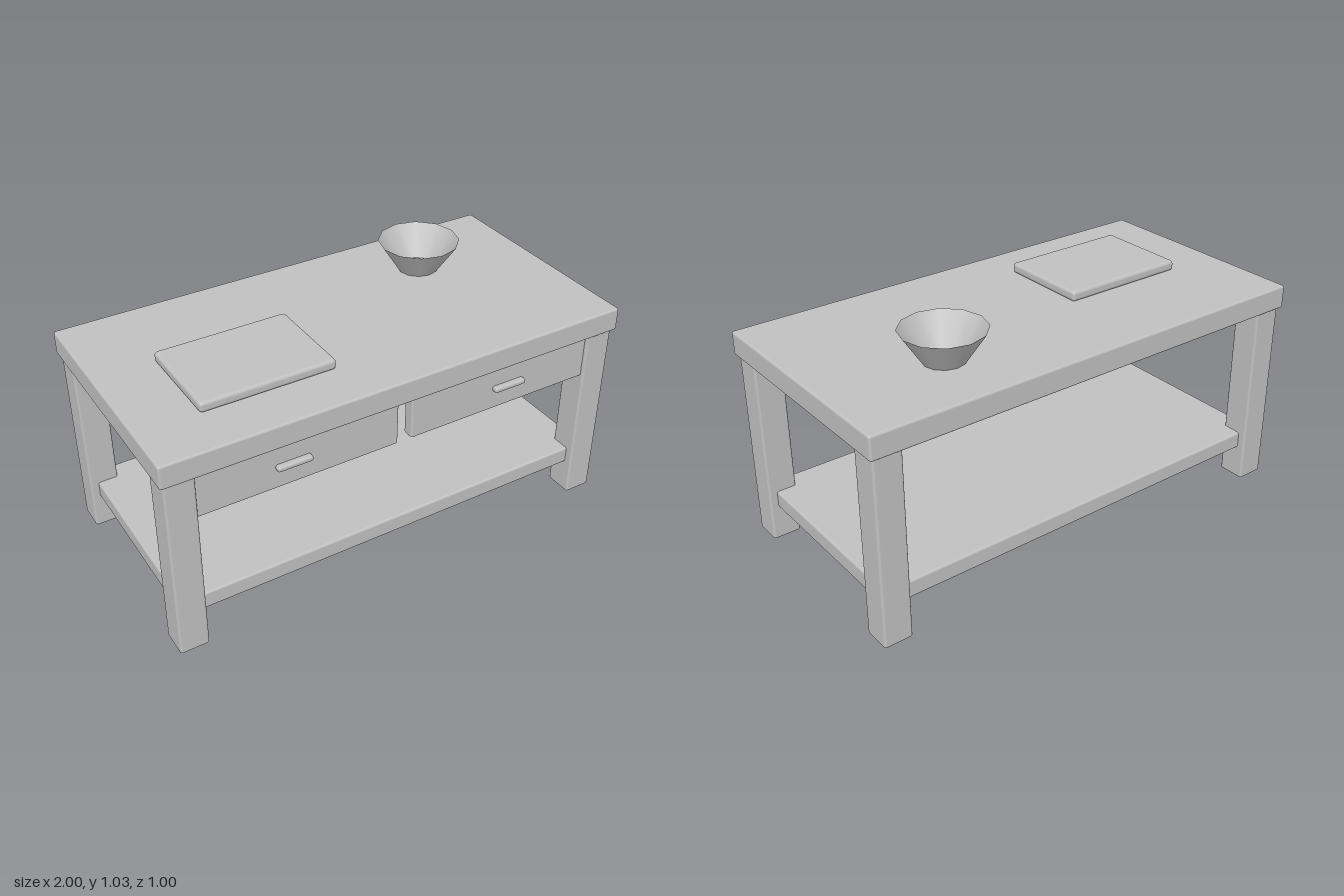
import * as THREE from 'three';
import { RoundedBoxGeometry } from 'three/addons/geometries/RoundedBoxGeometry.js';

export function createModel() {
  const model = new THREE.Group();
  model.name = 'kitchenTable';
  const grey = new THREE.MeshStandardMaterial({ color: 0xc0c0c0 });
  grey.name = 'plain grey';
  const greyOpen = grey;
  greyOpen.side = THREE.DoubleSide;

  // Box with softened edges, given by its lower and upper corners
  function block(name, min, max, bevel) {
    const size = max.map((v, i) => v - min[i]);
    const mesh = new THREE.Mesh(new RoundedBoxGeometry(...size, 2, bevel), grey);
    mesh.position.set(...max.map((v, i) => (v + min[i]) / 2));
    mesh.name = name;
    model.add(mesh);
  }

  // Table top and lower shelf
  block('tableTop', [-1, 0.8, -0.5], [1, 0.9, 0.5], 0.01);
  block('shelf', [-0.95, 0.145, -0.45], [0.95, 0.22, 0.45], 0.01);

  // Four legs, and two drawer fronts with handles
  for (const s of [-1, 1]) {
    const side = s > 0 ? 'Left' : 'Right';
    const x = s * 0.925;
    for (const t of [-1, 1]) {
      const z = t * 0.425;
      block((t > 0 ? 'front' : 'back') + side + 'Leg',
        [x - 0.06, 0, z - 0.06], [x + 0.06, 0.805, z + 0.06], 0.01);
    }
    const d = s * 0.48;
    block('drawerFront' + side, [d - 0.45, 0.605, 0.42], [d + 0.45, 0.805, 0.47], 0.008);
    block('drawerHandle' + side, [d - 0.073, 0.689, 0.465], [d + 0.073, 0.713, 0.495], 0.01);
  }

  // Cutting board
  block('cuttingBoard', [-0.75, 0.9, -0.1], [-0.195, 0.945, 0.3], 0.015);

  // Bowl: flared twelve-sided wall and flat base
  const bowl = new THREE.Group();
  bowl.name = 'bowl';
  bowl.position.set(0.5, 0.902, -0.2);
  const wall = new THREE.Mesh(
    new THREE.CylinderGeometry(0.17, 0.085, 0.128, 12, 1, true), greyOpen);
  wall.position.y = 0.064;
  wall.name = 'bowlWall';
  const base = new THREE.Mesh(new THREE.CircleGeometry(0.085, 12), greyOpen);
  base.rotation.x = -Math.PI / 2;
  base.name = 'bowlBase';
  bowl.add(wall, base);
  model.add(bowl);

  return model;
}
